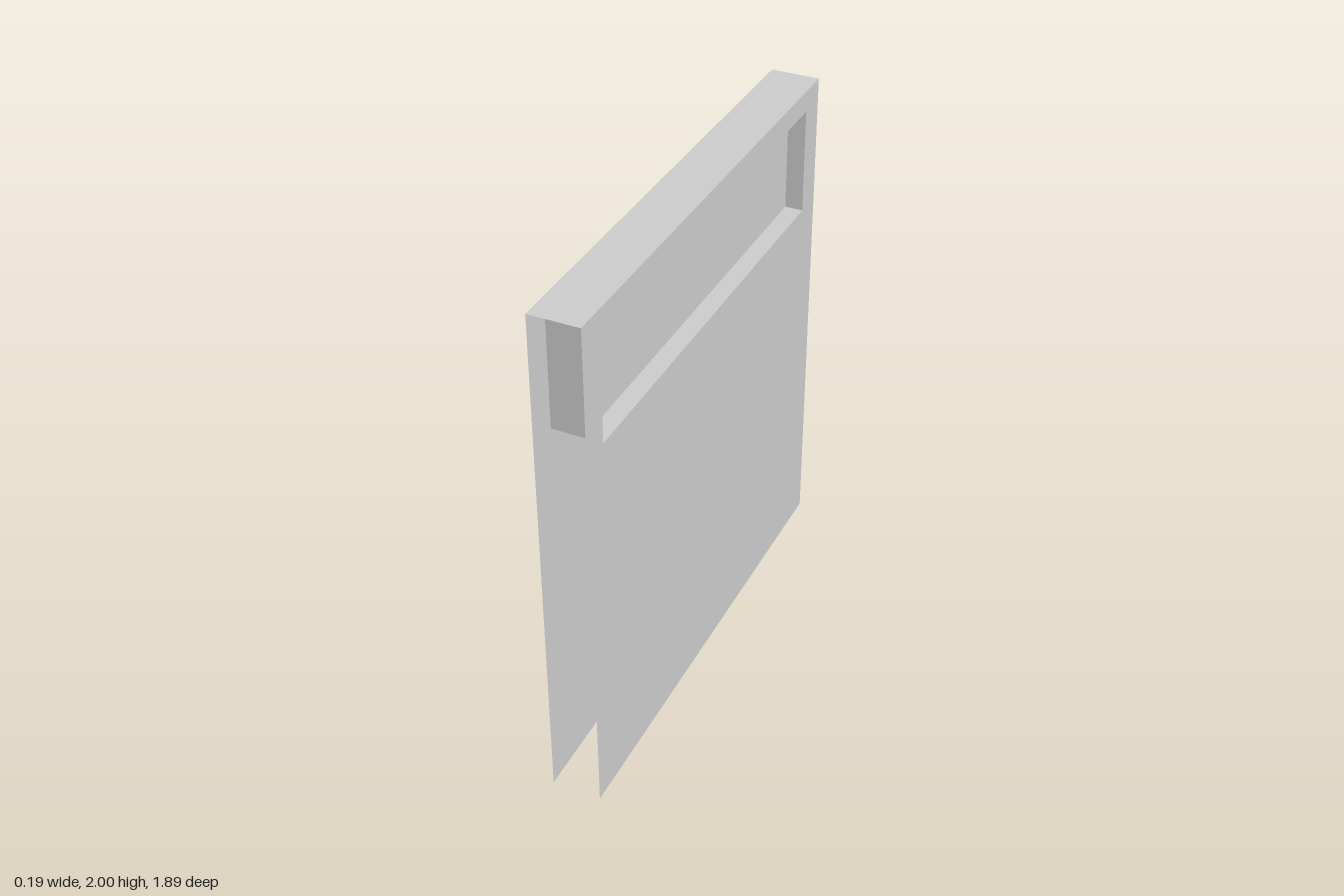
import * as THREE from 'three';

// Hollow slab door: two thin skins, a top cap and a framed window opening.
const T = 0.094;                    // half thickness
const W = 0.945, H = 2;             // half width, height
const WW = 0.83, Y0 = 1.503, Y1 = 1.917; // window half width, sill and head heights
const PANE = 0.024;                 // window pane offset from the centre plane

const material = new THREE.MeshStandardMaterial({
  color: 0xcccccc, side: THREE.DoubleSide, flatShading: true,
});

export function createModel() {
  const door = new THREE.Group();
  door.name = 'door';

  const add = (name, geometry, position, rotation = [0, 0, 0]) => {
    const mesh = new THREE.Mesh(geometry, material);
    mesh.name = name;
    mesh.position.set(...position);
    mesh.rotation.set(...rotation);
    door.add(mesh);
  };

  // Skin outline with the window cut out
  const skin = new THREE.Shape([
    new THREE.Vector2(-W, 0), new THREE.Vector2(W, 0),
    new THREE.Vector2(W, H), new THREE.Vector2(-W, H),
  ]);
  skin.holes.push(new THREE.Path([
    new THREE.Vector2(-WW, Y0), new THREE.Vector2(-WW, Y1),
    new THREE.Vector2(WW, Y1), new THREE.Vector2(WW, Y0),
  ]));

  const midY = (Y0 + Y1) / 2, winH = Y1 - Y0;
  for (const [label, s] of [['left', 1], ['right', -1]]) {
    const turn = [0, s * Math.PI / 2, 0];
    add(label + 'Skin', new THREE.ShapeGeometry(skin), [s * T, 0, 0], turn);
    add(label + 'WindowPane', new THREE.PlaneGeometry(2 * WW, winH), [s * PANE, midY, 0], turn);
  }

  // Top cap; the bottom and both ends stay open
  const flat = [-Math.PI / 2, 0, 0];
  add('topCap', new THREE.PlaneGeometry(2 * T, 2 * W), [0, H, 0], flat);

  // Window lining through the full thickness
  add('windowSill', new THREE.PlaneGeometry(2 * T, 2 * WW), [0, Y0, 0], flat);
  add('windowHead', new THREE.PlaneGeometry(2 * T, 2 * WW), [0, Y1, 0], [Math.PI / 2, 0, 0]);
  add('frontWindowJamb', new THREE.PlaneGeometry(2 * T, winH), [0, midY, WW], [0, Math.PI, 0]);
  add('backWindowJamb', new THREE.PlaneGeometry(2 * T, winH), [0, midY, -WW]);

  return door;
}
